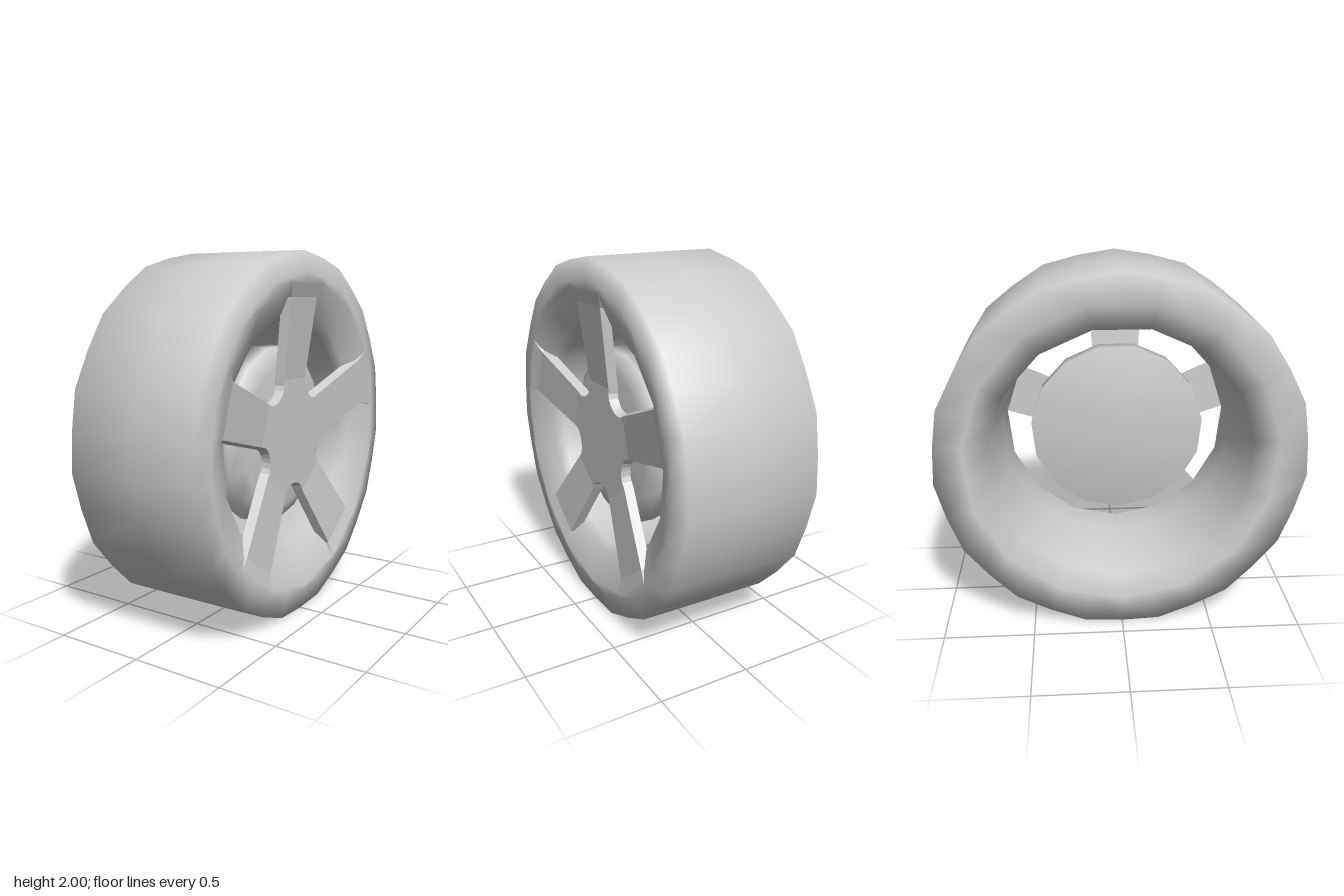
import * as THREE from 'three';

const CENTRE_Y = 0.994;
const material = new THREE.MeshStandardMaterial({ color: 0xcccccc, side: THREE.DoubleSide });

// Turns a lathe's upright axis onto x, with its first column pointing up
const toWheelAxis = new THREE.Matrix4().makeBasis(
  new THREE.Vector3(0, 0, 1), new THREE.Vector3(1, 0, 0), new THREE.Vector3(0, 1, 0));

// Profile points are [x along the axle, radius]
function ring(name, profile, sides, offset = 0) {
  const points = profile.map(([x, r]) => new THREE.Vector2(r, x));
  const geometry = new THREE.LatheGeometry(points, sides, offset).applyMatrix4(toWheelAxis);
  const mesh = new THREE.Mesh(geometry, material);
  mesh.name = name;
  return mesh;
}

// Tyre and barrel in one loop: tread, front lip, barrel, open back and tread again.
// The inside has 15 sides; the tread has 30, with every second column slightly inward.
function makeTyre() {
  const profile = [[0, 1.006], [0.364, 1.004], [0.384, 0.89], [0.39, 0.85], [0.345, 0.77],
    [0.31, 0.69], [0.26, 0.65], [0.1, 0.665], [-0.34, 0.72], [-0.385, 0.85],
    [-0.39, 1.006], [0, 1.006]];
  const tyre = ring('tyreAndBarrel', profile, 30);
  const pos = tyre.geometry.attributes.position;
  for (let i = 0; i < pos.count; i++) {
    const odd = Math.floor(i / profile.length) % 2 === 1;
    const tread = profile[i % profile.length][1] > 0.87;
    const scale = tread ? (odd ? 0.988 : 1) : (odd ? 1 : Math.cos(Math.PI / 15));
    pos.setXYZ(i, pos.getX(i), pos.getY(i) * scale, pos.getZ(i) * scale);
  }
  return tyre;
}

// One fifth of the spokes: four-cornered sections from the hub's centre out to the lip.
// Each row is [half width, radius, front x].
function makeSpoke(angle) {
  const rows = [[0, 0, 0.312]];
  // Half of the rounded valley between two spokes, turned next to this spoke
  const valley = new THREE.CubicBezierCurve(
    new THREE.Vector2(0.095, 0.325), new THREE.Vector2(0.07, 0.247),
    new THREE.Vector2(-0.07, 0.247), new THREE.Vector2(-0.095, 0.325));
  const c = Math.cos(Math.PI / 5);
  const s = Math.sin(Math.PI / 5);
  for (let i = 4; i <= 8; i++) {
    const p = valley.getPoint(i / 8);
    rows.push([p.x * c + p.y * s, p.y * c - p.x * s, 0.312]);
  }
  rows.push([0.14, 0.76, 0.365], [0.177, 0.831, 0.39]);

  const sections = rows.map(([w, y, x], i) => {
    const back = i === 0 ? 0 : 0.014;
    return [[x, y, w], [x, y, -w], [x - 0.05, y, -w - back], [x - 0.05, y, w + back]];
  });
  const vertices = [];
  for (let i = 0; i < sections.length - 1; i++) {
    for (let j = 0; j < 4; j++) {
      if (i === 0 && j % 2) continue; // the hub's centre has no side walls
      const k = (j + 1) % 4;
      const [a, b, d, e] = [sections[i][j], sections[i][k], sections[i + 1][k], sections[i + 1][j]];
      vertices.push(...a, ...b, ...d, ...a, ...d, ...e);
    }
  }
  const geometry = new THREE.BufferGeometry();
  geometry.setAttribute('position', new THREE.Float32BufferAttribute(vertices, 3));
  geometry.computeVertexNormals();
  const mesh = new THREE.Mesh(geometry, material);
  mesh.name = 'spoke';
  mesh.rotation.x = angle;
  return mesh;
}

export function createModel() {
  const wheel = new THREE.Group();
  wheel.name = 'wheel';
  wheel.add(
    makeTyre(),
    // Drum behind the hub, rounded towards the spokes
    ring('brakeDrum', [[0.09, 0], [0.09, 0.503], [0.2, 0.498], [0.25, 0.4], [0.265, 0]],
      15, Math.PI / 15),
  );
  for (let k = 0; k < 5; k++) wheel.add(makeSpoke(k * Math.PI * 2 / 5));
  wheel.position.y = CENTRE_Y;

  const model = new THREE.Group();
  model.name = 'wheelModel';
  model.add(wheel);
  return model;
}
